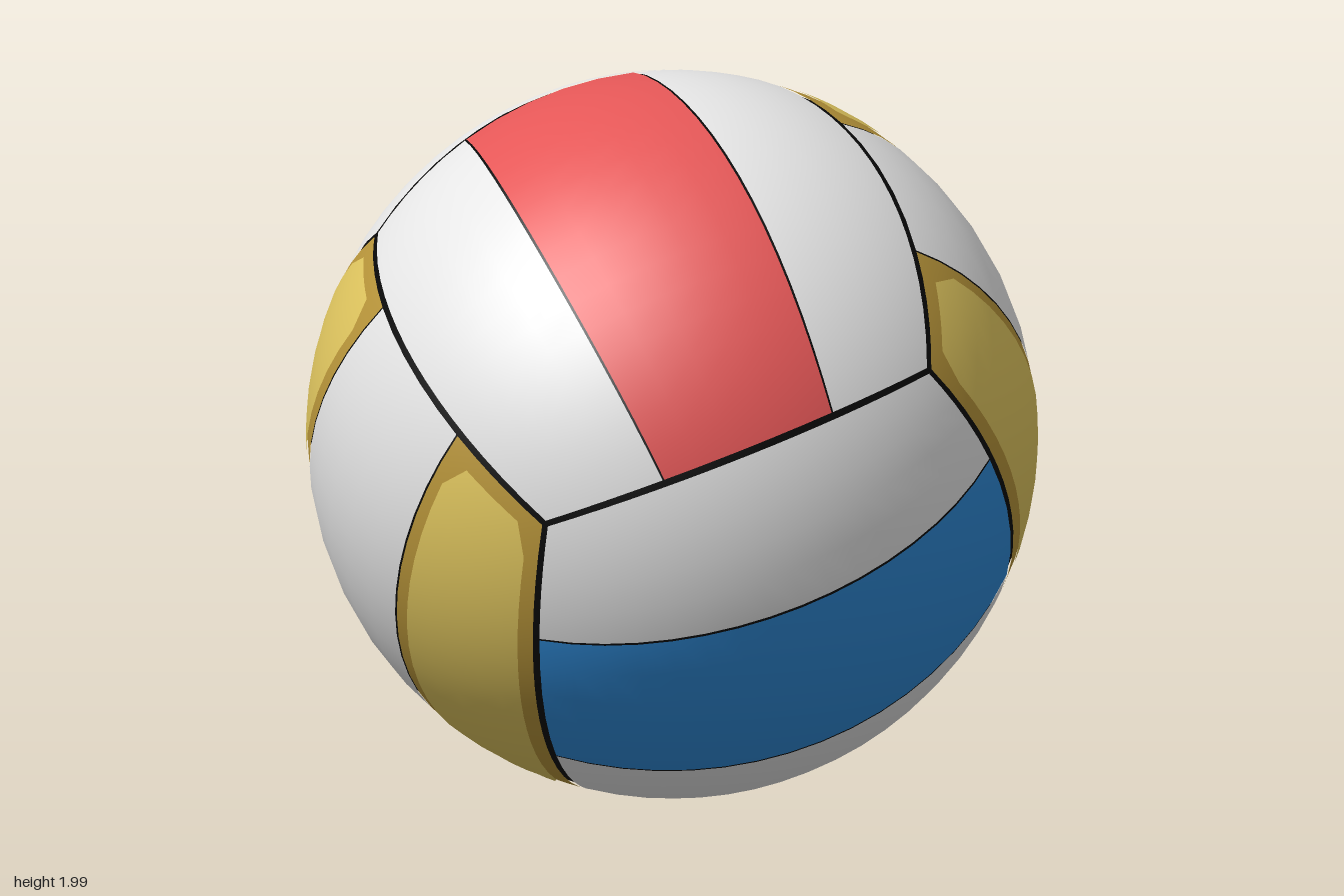
import * as THREE from 'three';

const mat = (name, color) => new THREE.MeshStandardMaterial({ name, color });

// Half width of a middle strip at position s along it (strips flare slightly at the ends)
const strip = s => 0.31 + 0.06 * s * s;
const EDGE = 0.98;   // panel edge next to a main seam
const GAP = 0.004;   // half width of the thin seams between strips

// Curved patch on the ball: N is the face direction, L runs along the strip.
// lo(s) and hi(s) bound it sideways, +-end bounds it lengthways.
function patch(N, L, lo, hi, end, radius) {
  const C = new THREE.Vector3().crossVectors(L, N);
  const geo = new THREE.PlaneGeometry(2, 2, 5, 16);
  const pos = geo.attributes.position, nor = geo.attributes.normal;
  const p = new THREE.Vector3();
  for (let i = 0; i < pos.count; i++) {
    const s = Math.tan(pos.getY(i) * Math.atan(end));
    const a = THREE.MathUtils.lerp(lo(s), hi(s), (pos.getX(i) + 1) / 2);
    p.copy(N).addScaledVector(L, s).addScaledVector(C, a).normalize();
    nor.setXYZ(i, p.x, p.y, p.z);
    p.multiplyScalar(radius);
    pos.setXYZ(i, p.x, p.y, p.z);
  }
  return geo;
}

export function createModel() {
  const white = mat('white', 0xe6e6e6);
  const red = mat('red', 0xe55757);
  const blue = mat('blue', 0x2f8bd9);
  const yellow = mat('yellow', 0xe0c65f);
  const darkYellow = mat('dark yellow', 0xb8953a);
  const black = mat('black', 0x080808);

  const model = new THREE.Group();
  model.name = 'volleyball';
  const ball = new THREE.Group();
  ball.name = 'ball';
  ball.position.y = 1;
  model.add(ball);

  const add = (name, geo, material) => {
    const mesh = new THREE.Mesh(geo, material);
    mesh.name = name;
    ball.add(mesh);
  };

  // Dark core that shows through the seams
  add('seamCore', new THREE.SphereGeometry(0.99, 64, 48), black);

  // Three axes of the tilted six-sided panel layout
  const tilt = THREE.MathUtils.degToRad(40), turn = THREE.MathUtils.degToRad(30);
  const x = new THREE.Vector3(1, 0, 0);
  const w = new THREE.Vector3(0, Math.sin(tilt), -Math.cos(tilt));
  const n = new THREE.Vector3(0, Math.cos(tilt), Math.sin(tilt));
  const u = x.clone().multiplyScalar(Math.cos(turn)).addScaledVector(w, Math.sin(turn));
  const v = w.clone().multiplyScalar(Math.cos(turn)).addScaledVector(x, -Math.sin(turn));

  const faces = [
    { name: 'red', N: n, L: v, middle: red, side: white },
    { name: 'blue', N: v, L: u, middle: blue, side: white },
    { name: 'yellow', N: u, L: n, middle: white, side: darkYellow, inset: yellow },
  ];

  // Inset plate: follows its panel, with the four corners cut off
  const insetEnd = 0.89;
  const cut = s => 0.8 * Math.max(0, Math.abs(s) - (insetEnd - 0.09));
  const insetLo = s => strip(s) + 0.055 + cut(s);
  const insetHi = s => 0.895 - cut(s);

  for (const f of faces) {
    for (const sign of [1, -1]) {
      const N = f.N.clone().multiplyScalar(sign);
      add(f.name + 'FaceMiddleStrip',
        patch(N, f.L, s => GAP - strip(s), s => strip(s) - GAP, EDGE, 0.999), f.middle);
      // Side strips, the second one made by reversing the lengthways direction
      for (const dir of [1, -1]) {
        const L = f.L.clone().multiplyScalar(dir);
        add(f.name + 'FaceSideStrip',
          patch(N, L, s => strip(s) + GAP, () => EDGE, EDGE, 0.999), f.side);
        if (f.inset) {
          add(f.name + 'FaceInset', patch(N, L, insetLo, insetHi, insetEnd, 1.003), f.inset);
        }
      }
    }
  }
  return model;
}
